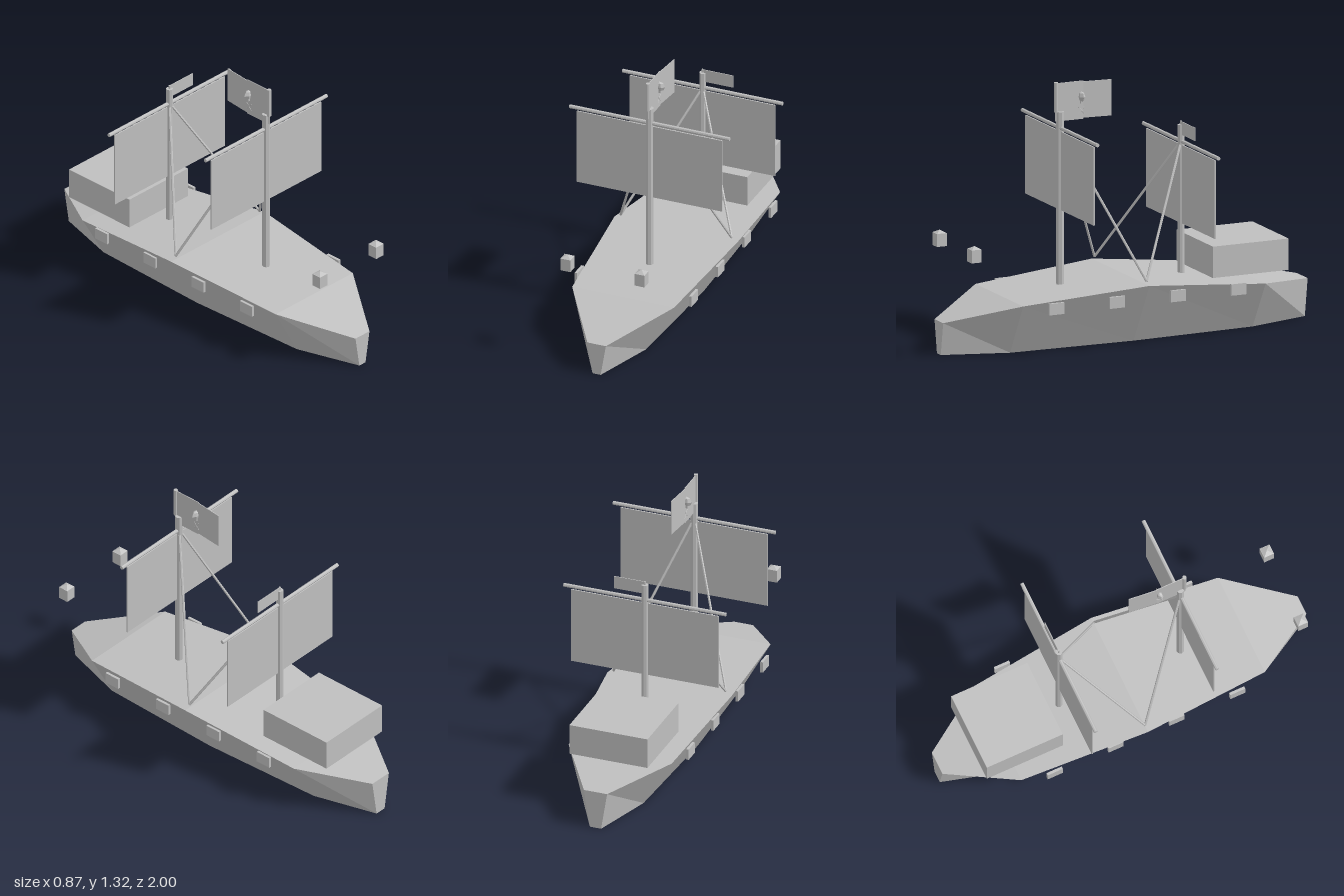
import * as THREE from 'three';

export function createModel() {
  const model = new THREE.Group();
  model.name = 'sailingShip';
  const grey = new THREE.MeshStandardMaterial({ color: 0xbfbfbf, flatShading: true });
  grey.name = 'plain grey';

  const add = (name, geometry, x = 0, y = 0, z = 0, parent = model) => {
    const mesh = new THREE.Mesh(geometry, grey);
    mesh.name = name;
    mesh.position.set(x, y, z);
    parent.add(mesh);
    return mesh;
  };
  const box = (name, w, h, d, x, y, z, parent) =>
    add(name, new THREE.BoxGeometry(w, h, d), x, y, z, parent);

  // round bar between two points
  const bar = (name, a, b, radius, sides = 8, parent = model) => {
    const from = new THREE.Vector3(...a), to = new THREE.Vector3(...b);
    const dir = to.clone().sub(from);
    const mesh = add(name, new THREE.CylinderGeometry(radius, radius, dir.length(), sides), 0, 0, 0, parent);
    mesh.position.copy(from).add(to).multiplyScalar(0.5);
    mesh.quaternion.setFromUnitVectors(new THREE.Vector3(0, 1, 0), dir.normalize());
    return mesh;
  };

  // hull: stations of [z, deck half width, deck height, keel half width], bow to stern
  const stations = [
    [1, 0.05, 0.168, 0.022],
    [0.667, 0.275, 0.267, 0.125],
    [0, 0.333, 0.317, 0.15],
    [-0.667, 0.275, 0.25, 0.125],
    [-1, 0.062, 0.2, 0.03],
  ];
  const points = [], index = [];
  for (const [z, deck, height, keel] of stations) {
    points.push(-deck, height, z, deck, height, z, keel, 0, z, -keel, 0, z);
  }
  const quad = (a, b, c, d) => index.push(a, b, c, a, c, d);
  for (let s = 0; s < stations.length - 1; s++) {
    for (let k = 0; k < 4; k++) {
      const a = s * 4 + k, b = s * 4 + (k + 1) % 4;
      quad(a, b, b + 4, a + 4);
    }
  }
  quad(3, 2, 1, 0);
  const e = (stations.length - 1) * 4;
  quad(e, e + 1, e + 2, e + 3);
  const indexed = new THREE.BufferGeometry();
  indexed.setAttribute('position', new THREE.Float32BufferAttribute(points, 3));
  indexed.setIndex(index);
  const hull = indexed.toNonIndexed();
  hull.computeVertexNormals();
  add('hull', hull);

  // cabin on the aft deck
  box('cabin', 0.417, 0.16, 0.417, 0, 0.37, -0.617);

  // masts with yards, sails and ropes
  const rigs = [
    { name: 'fore', z: 0.333, foot: 0.29, top: 1.17, yard: 1.087, radius: 0.02 },
    { name: 'aft', z: -0.333, foot: 0.28, top: 1.037, yard: 0.953, radius: 0.018 },
  ];
  for (const { name, z, foot, top, yard, radius } of rigs) {
    bar(name + 'Mast', [0, foot, z], [0, top, z], radius);
    bar(name + 'Yard', [-0.433, yard, z], [0.433, yard, z], 0.01);
    box(name + 'Sail', 0.786, 0.4, 0.007, 0, yard - 0.217, z);
    for (const side of [-1, 1]) {
      bar(name + 'Rope', [0, yard, z], [side * 0.3, 0.335, 0], 0.0065, 6);
    }
  }

  // gun ports along both sides, lanterns at the bow
  for (const side of [-1, 1]) {
    for (const z of [0.5, 0.167, -0.167, -0.5]) {
      box('gunPort', 0.014, 0.058, 0.083, side * 0.309, 0.246, z);
    }
    const lantern = new THREE.Group();
    lantern.name = 'lantern';
    lantern.position.set(side * 0.2, 0.5, 0.9);
    model.add(lantern);
    box('lanternBody', 0.054, 0.066, 0.054, 0, 0.035, 0, lantern);
    const cap = add('lanternCap', new THREE.ConeGeometry(0.037, 0.015, 4), 0, 0.0755, 0, lantern);
    cap.rotation.y = Math.PI / 4;
  }

  // fore flag: pole and two slightly bent panels
  bar('flagPole', [0, 1.168, 0.355], [0, 1.32, 0.355], 0.011);
  box('flagInnerPanel', 0.004, 0.195, 0.155, 0, 1.218, 0.282);
  const outer = box('flagOuterPanel', 0.004, 0.185, 0.148, 0.007, 1.218, 0.131);
  outer.rotation.y = -0.1;

  // emblem on the fore flag
  const emblem = new THREE.Group();
  emblem.name = 'flagEmblem';
  emblem.position.set(0, 1.235, 0.217);
  model.add(emblem);
  add('skull', new THREE.SphereGeometry(1, 6, 4), 0, 0, 0, emblem).scale.set(0.034, 0.027, 0.017);
  box('jaw', 0.022, 0.016, 0.014, 0, -0.026, 0, emblem);
  for (const side of [-1, 1]) {
    bar('bone', [0, -0.05, side * 0.017], [0, -0.088, -side * 0.017], 0.004, 6, emblem);
  }

  // pennant on the aft mast
  bar('pennantPole', [0, 1.03, -0.333], [0, 1.055, -0.333], 0.005, 6);
  box('pennant', 0.163, 0.067, 0.004, 0.083, 1.02, -0.333);

  return model;
}
